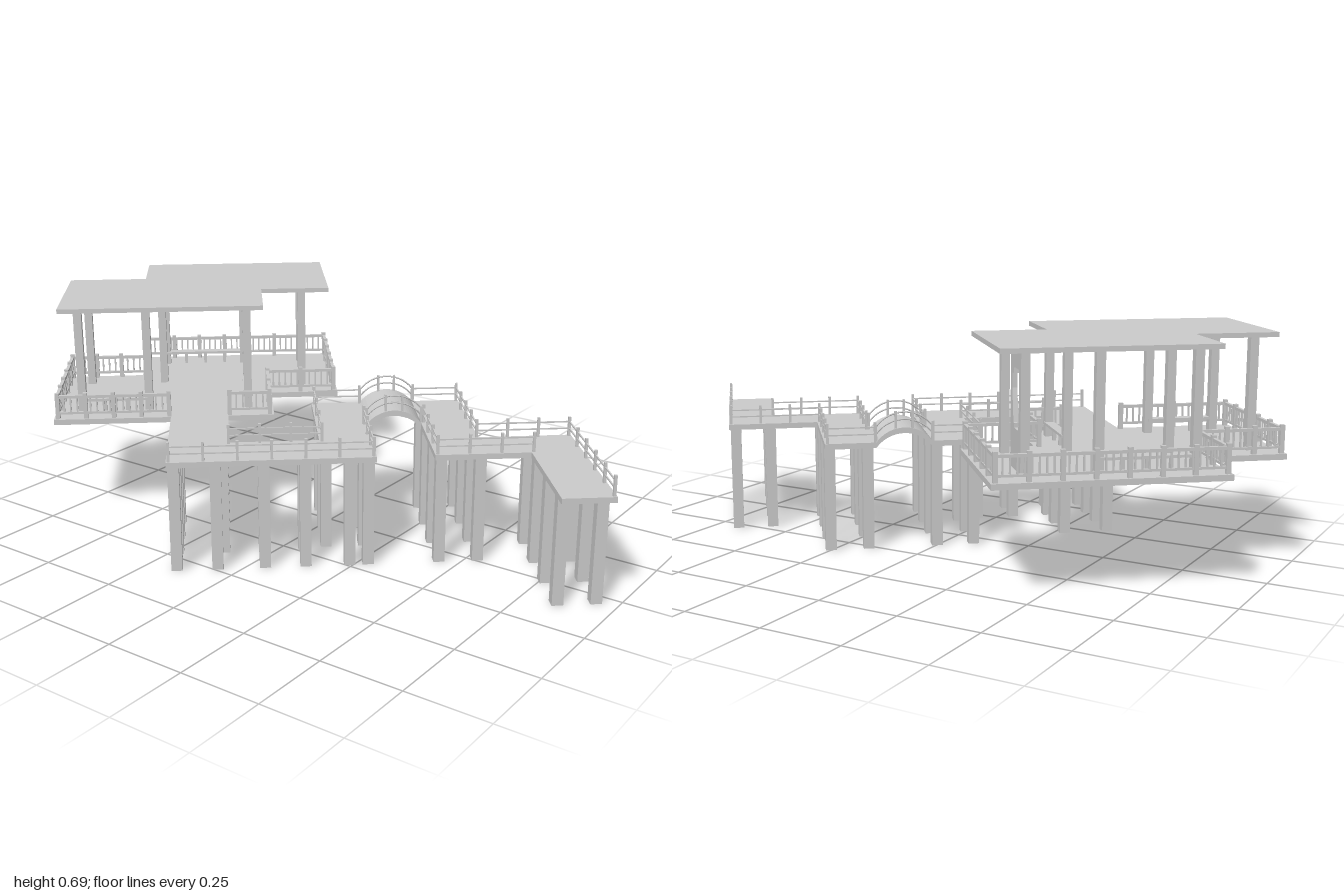
import * as THREE from 'three';

const mat = new THREE.MeshStandardMaterial({ color: 0xcccccc, side: THREE.DoubleSide });
const DECK = 0.342, BASE = 0.325, ROOF = 0.675;

function add(parent, geo, name) {
  const m = new THREE.Mesh(geo, mat);
  m.name = name;
  parent.add(m);
  return m;
}

function box(parent, name, w, h, d, x, y, z) {
  const m = add(parent, new THREE.BoxGeometry(w, h, d), name);
  m.position.set(x, y, z);
  return m;
}

// Horizontal slab from a plan outline of [x, z] points
function slab(parent, name, pts, y0, y1) {
  const shape = new THREE.Shape(pts.map(([x, z]) => new THREE.Vector2(x, -z)));
  const geo = new THREE.ExtrudeGeometry(shape, { depth: y1 - y0, bevelEnabled: false });
  geo.rotateX(-Math.PI / 2).translate(0, y0, 0);
  return add(parent, geo, name);
}

// Bar running between two plan points
function bar(parent, name, [x0, z0], [x1, z1], y, h, d) {
  const m = box(parent, name, Math.hypot(x1 - x0, z1 - z0), h, d, (x0 + x1) / 2, y, (z0 + z1) / 2);
  m.rotation.y = -Math.atan2(z1 - z0, x1 - x0);
  return m;
}

function along(a, b, spacing, fn) {
  const n = Math.max(1, Math.round(Math.hypot(b[0] - a[0], b[1] - a[1]) / spacing));
  for (let i = 0; i <= n; i++) fn(a[0] + (b[0] - a[0]) * i / n, a[1] + (b[1] - a[1]) * i / n);
}

// Balustrade with thick posts and thin balusters
function balustrade(parent, a, b) {
  const g = new THREE.Group();
  g.name = 'balustrade';
  along(a, b, 0.095, (x, z) => box(g, 'balustradePost', 0.013, 0.083, 0.013, x, DECK + 0.0415, z));
  along(a, b, 0.02, (x, z) => box(g, 'baluster', 0.005, 0.05, 0.005, x, 0.386, z));
  bar(g, 'topRail', a, b, 0.413, 0.009, 0.01);
  bar(g, 'bottomRail', a, b, 0.36, 0.007, 0.008);
  parent.add(g);
}

// Light two-bar railing
function railing(parent, a, b) {
  const g = new THREE.Group();
  g.name = 'walkwayRailing';
  along(a, b, 0.1, (x, z) => box(g, 'railingPost', 0.008, 0.06, 0.008, x, DECK + 0.03, z));
  for (const y of [0.366, 0.387]) bar(g, 'railingBar', a, b, y, 0.004, 0.004);
  parent.add(g);
}

function pavilion() {
  const g = new THREE.Group();
  g.name = 'pavilion';
  // Two overlapping rectangles, shrunk by d
  const outline = d => [
    [-0.864 + d, -0.518 + d], [-0.864 + d, -0.058 - d], [-0.175 - d, -0.058 - d], [-0.175 - d, -0.283 - d],
    [0.045 - d, -0.283 - d], [0.045 - d, -0.742 + d], [-0.615 + d, -0.742 + d], [-0.615 + d, -0.518 + d],
  ];
  slab(g, 'pavilionDeck', outline(0), BASE, DECK);
  slab(g, 'roof', outline(0.028), ROOF, 0.689);

  // Balustrade all round, open where the walkway joins
  const edge = outline(0.013);
  edge.forEach((a, i) => {
    const b = edge[(i + 1) % edge.length];
    if (i === 1) {
      balustrade(g, a, [-0.505, a[1]]);
      balustrade(g, [-0.315, a[1]], b);
    } else balustrade(g, a, b);
  });

  // Roof columns
  const columns = [
    [-0.78, -0.44], [-0.78, -0.14], [-0.57, -0.14], [-0.255, -0.14], [-0.255, -0.36],
    [-0.07, -0.36], [-0.06, -0.66], [-0.263, -0.66], [-0.535, -0.66], [-0.535, -0.44],
  ];
  for (const [x, z] of columns) box(g, 'roofColumn', 0.025, ROOF - DECK, 0.025, x, (ROOF + DECK) / 2, z);

  // Screen wall with a vase-shaped opening
  const wall = new THREE.Shape();
  wall.moveTo(-0.072, DECK).lineTo(0.072, DECK).lineTo(0.072, ROOF).lineTo(-0.072, ROOF).closePath();
  const half = [[0.03, 0.62], [0.03, 0.602], [0.052, 0.602], [0.052, 0.56], [0.034, 0.468], [0.024, 0.468], [0.024, 0.455]];
  const vase = [...half, ...half.slice().reverse().map(([x, y]) => [-x, y])];
  wall.holes.push(new THREE.Path(vase.map(p => new THREE.Vector2(...p))));
  const geo = new THREE.ExtrudeGeometry(wall, { depth: 0.014, bevelEnabled: false });
  geo.rotateY(-Math.PI / 2).translate(-0.053, 0, -0.594);
  add(g, geo, 'windowWall');

  // Benches between columns
  for (const [a, b] of [[[-0.78, -0.14], [-0.57, -0.14]], [[-0.535, -0.66], [-0.263, -0.66]], [[-0.255, -0.14], [-0.255, -0.36]]]) {
    bar(g, 'benchSeat', a, b, 0.382, 0.008, 0.03);
    along(a, b, 0.07, (x, z) => box(g, 'benchLeg', 0.01, 0.036, 0.01, x, 0.36, z));
  }
  return g;
}

function walkway() {
  const g = new THREE.Group();
  g.name = 'walkway';
  slab(g, 'nearWalkway', [[-0.5, -0.058], [-0.5, 0.347], [0.107, 0.347], [0.107, -0.158],
    [-0.05, -0.158], [-0.05, 0.19], [-0.32, 0.19], [-0.32, -0.058]], BASE, DECK);
  slab(g, 'farWalkway', [[0.277, -0.158], [0.277, 0.345], [0.56, 0.345], [0.56, 0.696],
    [0.712, 0.696], [0.712, 0.203], [0.43, 0.203], [0.43, -0.158]], BASE, DECK);

  const rails = [
    [[-0.492, 0.339], [0.099, 0.339]], [[-0.32, 0.198], [-0.042, 0.198]], [[-0.042, -0.15], [-0.042, 0.198]],
    [[0.099, 0.055], [0.099, 0.339]], [[-0.042, -0.15], [0.105, -0.15]], [[0.279, -0.15], [0.422, -0.15]],
    [[0.422, -0.15], [0.422, 0.211]], [[0.285, 0.055], [0.285, 0.337]], [[0.285, 0.337], [0.568, 0.337]],
    [[0.422, 0.211], [0.704, 0.211]], [[0.704, 0.211], [0.704, 0.688]],
  ];
  for (const [a, b] of rails) railing(g, a, b);

  // Square piles down to the ground
  const piles = [];
  for (const z of [-0.02, 0.1, 0.21]) piles.push([-0.48, z], [-0.34, z]);
  for (const x of [-0.48, -0.36, -0.22, -0.1, 0.03]) piles.push([x, 0.325]);
  for (const x of [-0.22, -0.1]) piles.push([x, 0.212]);
  for (const z of [-0.09, 0.05, 0.19]) piles.push([-0.03, z], [0.085, z]);
  piles.push([0.085, 0.325]);
  for (const z of [-0.09, 0.05, 0.19]) piles.push([0.297, z], [0.413, z]);
  for (const x of [0.297, 0.413]) piles.push([x, 0.325]);
  for (const z of [0.22, 0.355, 0.49, 0.63]) piles.push([0.58, z], [0.69, z]);
  for (const [x, z] of piles) box(g, 'pile', 0.033, BASE, 0.033, x, BASE / 2, z);
  return g;
}

function bridge() {
  const g = new THREE.Group();
  g.name = 'archedBridge';
  const X = 0.192, H = 0.085, RISE = 0.043, N = 20;
  // Circular arc of the given end height
  const R = (H * H + RISE * RISE) / (2 * RISE);
  const arc = y0 => Array.from({ length: N + 1 }, (_, i) => {
    const x = -H + 2 * H * i / N;
    return new THREE.Vector2(X + x, y0 + Math.sqrt(R * R - x * x) - (R - RISE));
  });
  const section = new THREE.Shape([...arc(DECK), ...arc(BASE).reverse()]);
  const geo = new THREE.ExtrudeGeometry(section, { depth: 0.219, bevelEnabled: false });
  geo.translate(0, 0, -0.158);
  add(g, geo, 'archedDeck');

  // Curved handrails on both sides
  for (const z of [-0.15, 0.053]) {
    for (const lift of [0.024, 0.046]) {
      const path = new THREE.CatmullRomCurve3(arc(DECK + lift).map(p => new THREE.Vector3(p.x, p.y, z)));
      add(g, new THREE.TubeGeometry(path, 24, 0.0025, 6), 'curvedRail');
    }
    const foot = arc(DECK);
    for (const i of [0, 7, 13, 20]) box(g, 'bridgePost', 0.007, 0.055, 0.007, foot[i].x, foot[i].y + 0.025, z);
  }
  return g;
}

export function createModel() {
  const model = new THREE.Group();
  model.name = 'waterPavilion';
  const plan = new THREE.Group();
  plan.name = 'turnedPlan';
  plan.rotation.y = THREE.MathUtils.degToRad(40);
  plan.add(pavilion(), walkway(), bridge());
  model.add(plan);
  return model;
}
